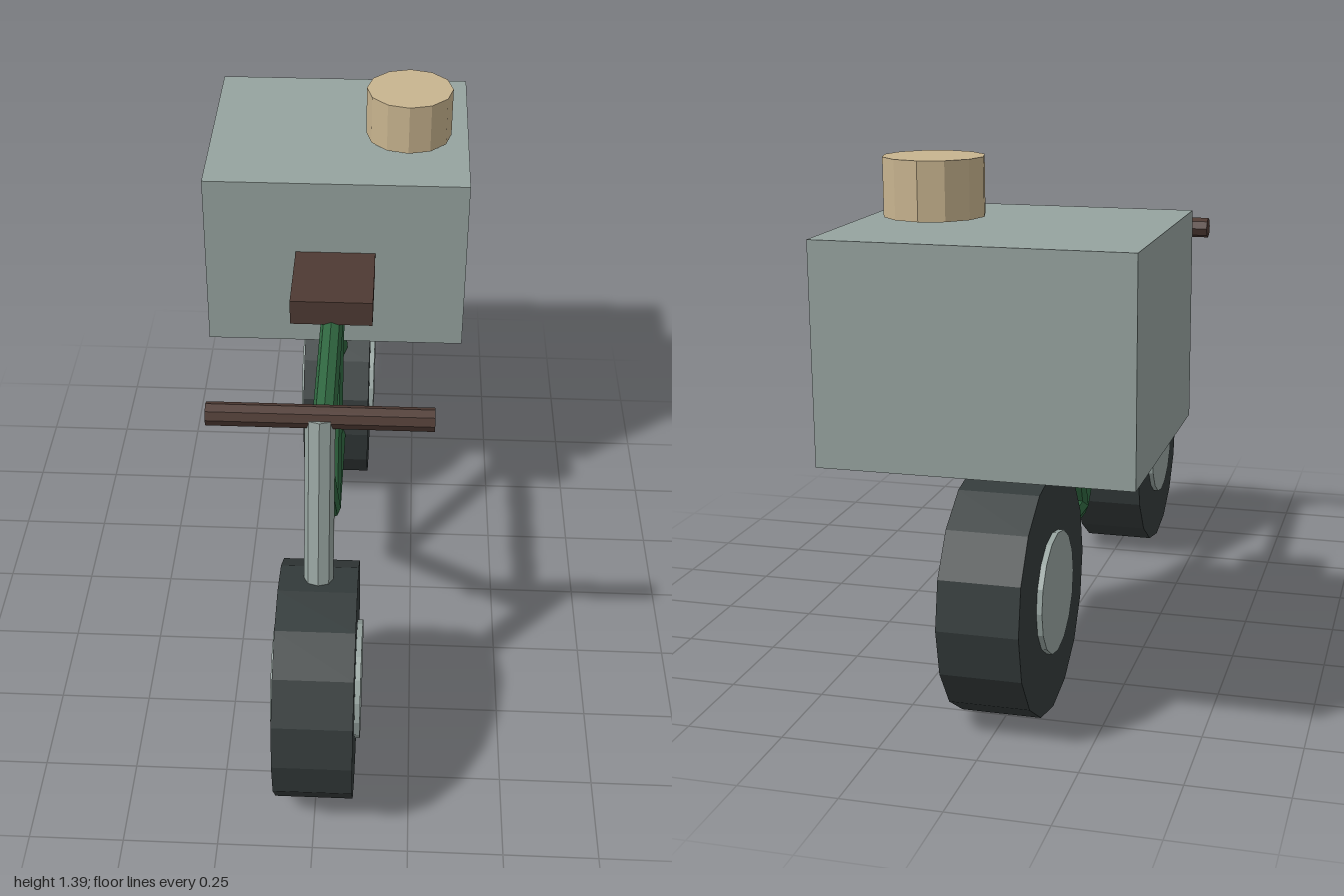
import * as THREE from 'three';

const mat = (name, color) => {
  const m = new THREE.MeshStandardMaterial({ color, flatShading: true });
  m.name = name;
  return m;
};

export function createModel() {
  const bike = new THREE.Group();
  bike.name = 'cargoBike';

  const green = mat('frame green', 0x2f6640);
  const grey = mat('pale grey', 0x96a39f);
  const rubber = mat('tyre black', 0x343b3b);
  const brown = mat('dark brown', 0x4e3a33);
  const tan = mat('tan', 0xc8b48f);

  const add = (name, geometry, material, x, y, z, parent = bike) => {
    const mesh = new THREE.Mesh(geometry, material);
    mesh.name = name;
    mesh.position.set(x, y, z);
    parent.add(mesh);
    return mesh;
  };

  // Straight tube between two [y, z] points on the centre plane
  const tube = (name, a, b, radius, material) => {
    const from = new THREE.Vector3(0, ...a);
    const dir = new THREE.Vector3(0, ...b).sub(from);
    const mid = from.clone().addScaledVector(dir, 0.5);
    const mesh = add(name, new THREE.CylinderGeometry(radius, radius, dir.length(), 8), material, 0, mid.y, mid.z);
    mesh.quaternion.setFromUnitVectors(new THREE.Vector3(0, 1, 0), dir.normalize());
  };

  // Cylinder lying along x
  const axle = (radius, length, sides) =>
    new THREE.CylinderGeometry(radius, radius, length, sides).rotateZ(Math.PI / 2);

  // Joints, as [y, z]
  const frontHub = [0.313, 0.687];
  const rearHub = [0.313, -0.672];
  const head = [0.9, 0.51];
  const seatJoint = [0.915, -0.228];
  const crank = [0.315, 0];
  const barJoint = [1.063, 0.525];

  // Wheels: tyre with a hub standing slightly proud on both sides
  for (const [name, [y, z]] of [['frontWheel', frontHub], ['rearWheel', rearHub]]) {
    const wheel = new THREE.Group();
    wheel.name = name;
    wheel.position.set(0, y, z);
    add('tyre', axle(0.313, 0.204, 16), rubber, 0, 0, 0, wheel);
    add('hub', axle(0.156, 0.232, 16), grey, 0, 0, 0, wheel);
    bike.add(wheel);
  }

  // Frame
  tube('topTube', head, seatJoint, 0.032, green);
  tube('downTube', head, crank, 0.032, green);
  tube('seatTube', crank, seatJoint, 0.032, green);
  tube('chainStay', crank, rearHub, 0.032, green);
  tube('seatStay', seatJoint, rearHub, 0.032, green);

  // Steering
  tube('fork', frontHub, barJoint, 0.038, grey);
  add('handlebar', axle(0.03, 0.566, 8), brown, 0, barJoint[0], barJoint[1] - 0.003);

  // Seat and cargo
  add('seat', new THREE.BoxGeometry(0.232, 0.075, 0.325), brown, 0, 0.973, -0.228);
  add('cargoBox', new THREE.BoxGeometry(0.762, 0.536, 0.673), grey, 0, 0.968, -0.6635);
  add('canister', new THREE.CylinderGeometry(0.126, 0.126, 0.145, 12), tan, 0.204, 1.318, -0.625);

  return bike;
}
